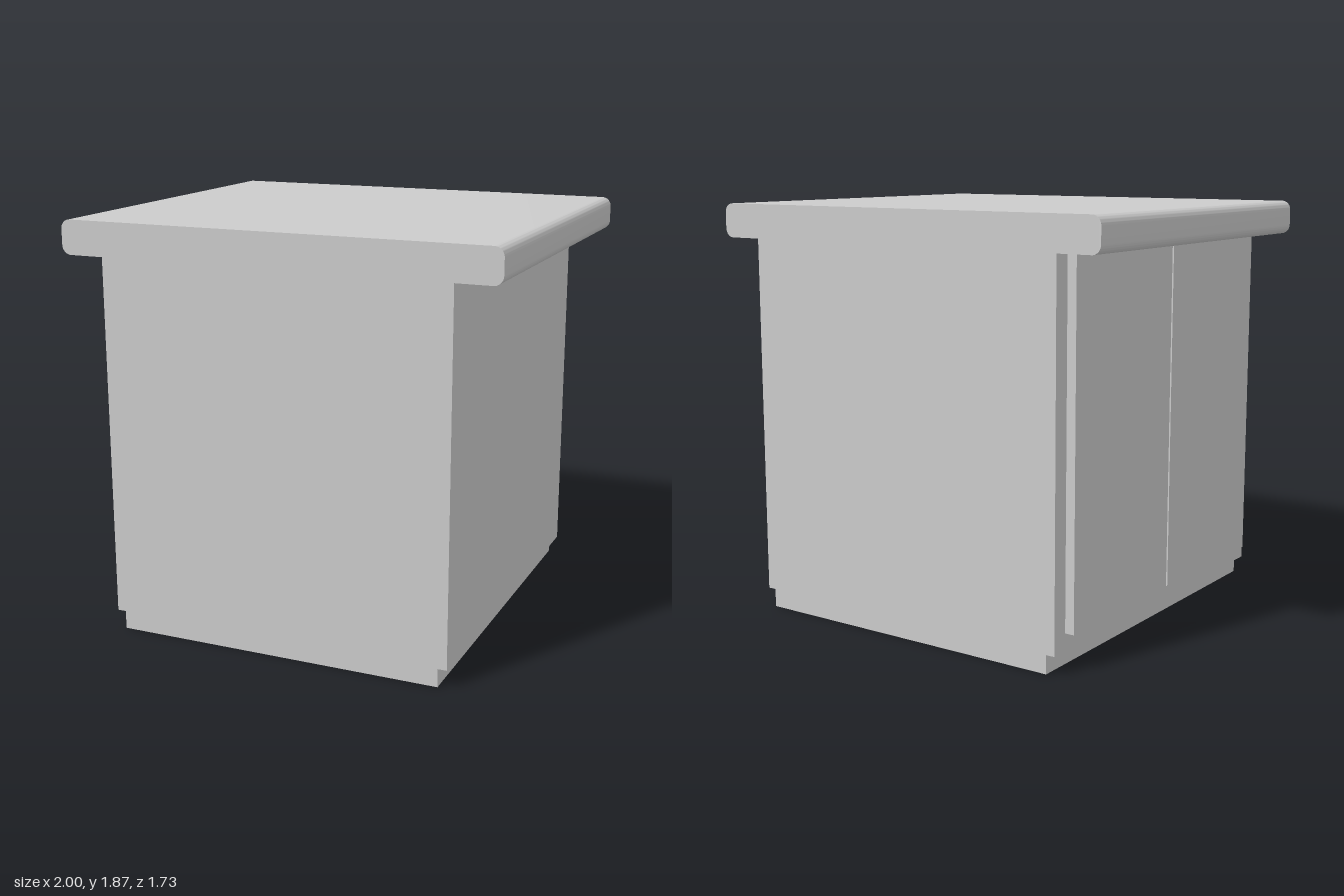
import * as THREE from 'three';
import { toCreasedNormals } from 'three/addons/utils/BufferGeometryUtils.js';

const DEPTH = 1.73;

export function createModel() {
  const group = new THREE.Group();
  const material = new THREE.MeshStandardMaterial({ color: 0xcccccc });

  const add = (name, geometry, x = 0, y = 0, z = 0) => {
    const mesh = new THREE.Mesh(geometry, material);
    mesh.name = name;
    mesh.position.set(x, y, z);
    group.add(mesh);
  };
  const box = (name, w, y0, y1, d, x = 0, z = 0) =>
    add(name, new THREE.BoxGeometry(w, y1 - y0, d), x, (y0 + y1) / 2, z);

  // Recessed plinth and cabinet body
  box('plinth', 1.52, 0, 0.083, DEPTH);
  box('cabinetBody', 1.6, 0.083, 1.716, DEPTH);

  // Pair of doors on the right-hand side, with a thin gap between them
  const doorEdge = 0.785, gap = 0.012;
  const doorWidth = doorEdge - gap / 2;
  for (const [name, s] of [['frontDoor', 1], ['backDoor', -1]]) {
    box(name, 0.042, 0.16, 1.716, doorWidth, -0.821, s * (gap / 2 + doorWidth / 2));
  }

  // Worktop: rounded long edges, flat cut ends at front and back
  const r = 0.042, y0 = 1.716, y1 = 1.87;
  const profile = new THREE.Shape();
  profile.absarc(1 - r, y0 + r, r, -Math.PI / 2, 0);
  profile.absarc(1 - r, y1 - r, r, 0, Math.PI / 2);
  profile.absarc(-1 + r, y1 - r, r, Math.PI / 2, Math.PI);
  profile.absarc(-1 + r, y0 + r, r, Math.PI, Math.PI * 1.5);
  profile.closePath();
  const top = new THREE.ExtrudeGeometry(profile, { depth: DEPTH, bevelEnabled: false, curveSegments: 10 });
  top.translate(0, 0, -DEPTH / 2);
  add('worktop', toCreasedNormals(top, 0.6));

  return group;
}
